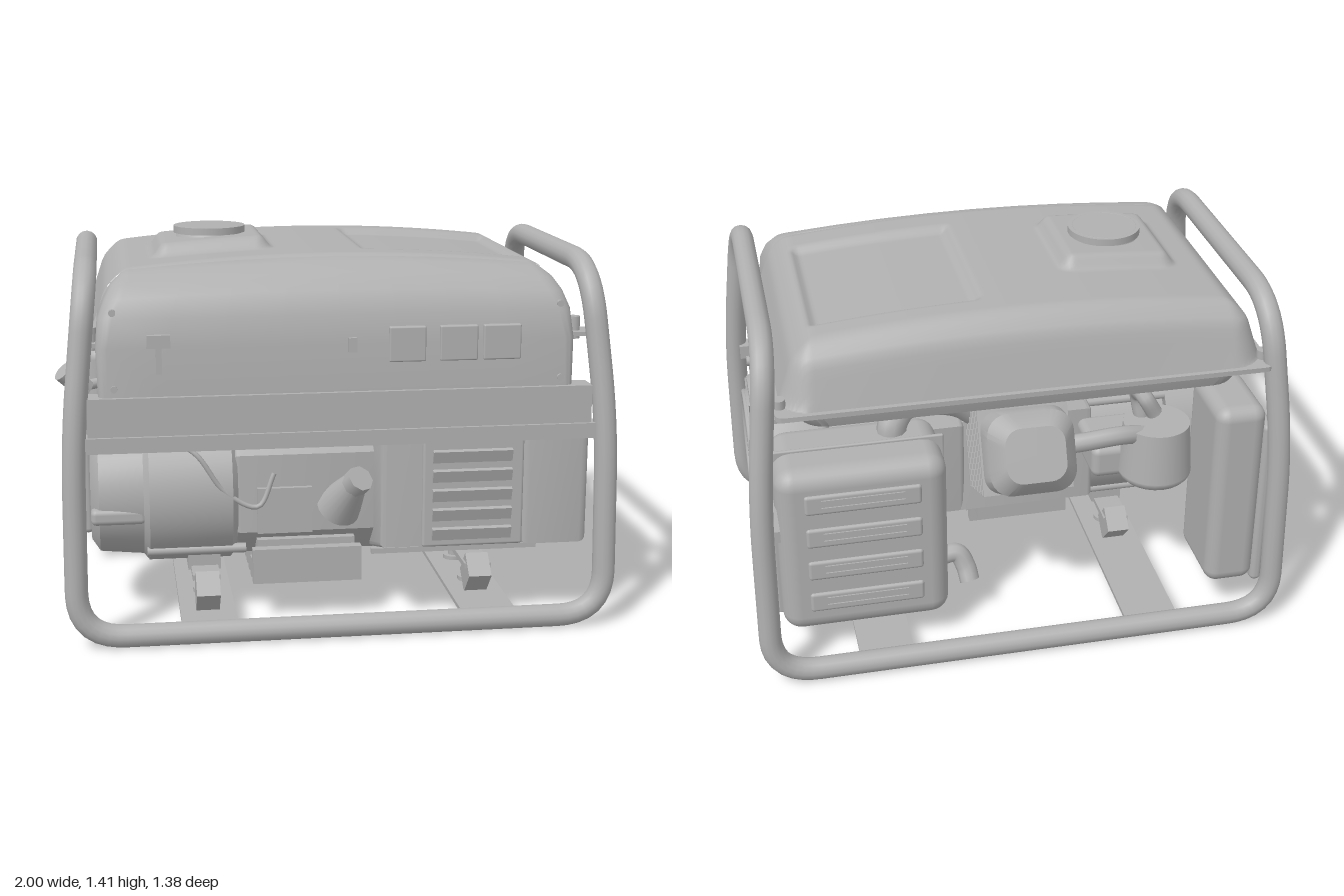
import * as THREE from 'three';
import { toCreasedNormals } from 'three/addons/utils/BufferGeometryUtils.js';
import { RoundedBoxGeometry } from 'three/addons/geometries/RoundedBoxGeometry.js';

const grey = new THREE.MeshStandardMaterial({ color: 0xb0b0b0 });
grey.name = 'grey';
const V = (x, y, z) => new THREE.Vector3(x, y, z);

function add(parent, name, geo, x = 0, y = 0, z = 0, rx = 0, ry = 0, rz = 0) {
  const m = new THREE.Mesh(geo, grey);
  m.name = name;
  m.position.set(x, y, z);
  m.rotation.set(rx, ry, rz);
  parent.add(m);
  return m;
}
// box given by its extents
const box = (p, name, x0, x1, y0, y1, z0, z1, r = 0) => add(p, name,
  r ? new RoundedBoxGeometry(x1 - x0, y1 - y0, z1 - z0, 3, r) : new THREE.BoxGeometry(x1 - x0, y1 - y0, z1 - z0),
  (x0 + x1) / 2, (y0 + y1) / 2, (z0 + z1) / 2);
const cyl = (r0, r1, h, n = 32) => new THREE.CylinderGeometry(r0, r1, h, n);
const tube = (p, name, pts, r, seg = 32) =>
  add(p, name, new THREE.TubeGeometry(new THREE.CatmullRomCurve3(pts.map(a => V(...a))), seg, r, 10));

// closed path with rounded corners
function roundedPath(pts) {
  const path = new THREE.CurvePath(), n = pts.length;
  const towards = (a, b, r) => a.clone().lerp(b, Math.min(0.45, r / a.distanceTo(b)));
  pts.forEach(([x, y, z, r], i) => {
    const p = V(x, y, z), a = pts[(i + n - 1) % n], b = pts[(i + 1) % n];
    const prev = V(...a.slice(0, 3)), next = V(...b.slice(0, 3));
    const out = towards(p, next, r);
    path.add(new THREE.QuadraticBezierCurve3(towards(p, prev, r), p, out));
    path.add(new THREE.LineCurve3(out, towards(next, p, b[3])));
  });
  return path;
}

// stack of rounded rectangles [y, x0, x1, z0, z1, radius], capped at both ends
function loft(levels, crease = 0.6, lift = () => 0) {
  const pos = [], idx = [], C = 6, E = 8, n = 4 * (C + E);
  const put = (x, y, z) => pos.push(x, y + lift(x, y, z), z);
  for (const [y, x0, x1, z0, z1, r] of levels) {
    const arc = [];
    [[x1 - r, z1 - r], [x0 + r, z1 - r], [x0 + r, z0 + r], [x1 - r, z0 + r]].forEach(([cx, cz], k) => {
      for (let i = 0; i <= C; i++) {
        const a = (k + i / C) * Math.PI / 2;
        arc.push([cx + r * Math.cos(a), cz + r * Math.sin(a)]);
      }
    });
    arc.forEach((p, i) => {
      put(p[0], y, p[1]);
      if (i % (C + 1) === C) {
        const q = arc[(i + 1) % arc.length];
        for (let j = 1; j < E; j++) put(p[0] + (q[0] - p[0]) * j / E, y, p[1] + (q[1] - p[1]) * j / E);
      }
    });
  }
  const L = levels.length, top = L * n + 1;
  for (const l of [levels[0], levels[L - 1]]) put((l[1] + l[2]) / 2, l[0], (l[3] + l[4]) / 2);
  for (let i = 0; i < n; i++) {
    const k = (i + 1) % n;
    for (let j = 0; j < L - 1; j++) {
      const a = j * n + i, b = a + n, c = (j + 1) * n + k, d = j * n + k;
      idx.push(a, b, c, a, c, d);
    }
    idx.push(top - 1, i, k, top, (L - 1) * n + k, (L - 1) * n + i);
  }
  const g = new THREE.BufferGeometry();
  g.setAttribute('position', new THREE.Float32BufferAttribute(pos, 3));
  g.setIndex(idx);
  return toCreasedNormals(g, crease);
}

// extrude a z-y outline along +x starting at x0
function sideExtrude(p, name, pts, x0, x1, bevel = 0.02) {
  const s = new THREE.Shape(pts.map(([z, y]) => new THREE.Vector2(-z, y)));
  const g = new THREE.ExtrudeGeometry(s, { depth: x1 - x0 - 2 * bevel, bevelEnabled: bevel > 0, bevelSize: bevel,
    bevelThickness: bevel, bevelOffset: -bevel, bevelSegments: 3 });
  return add(p, name, toCreasedNormals(g, 0.6), x0 + bevel, 0, 0, 0, Math.PI / 2, 0);
}

// signed depth inside a rounded rectangle
function inset(x, z, x0, x1, z0, z1, r) {
  const qx = Math.abs(x - (x0 + x1) / 2) - (x1 - x0) / 2 + r, qz = Math.abs(z - (z0 + z1) / 2) - (z1 - z0) / 2 + r;
  return r - Math.min(Math.max(qx, qz), 0) - Math.hypot(Math.max(qx, 0), Math.max(qz, 0));
}

export function createModel() {
  const model = new THREE.Group();
  model.name = 'portableGenerator';
  const part = name => { const g = new THREE.Group(); g.name = name; model.add(g); return g; };

  // tubular frame, one closed loop, with two base channels
  const frame = part('frame');
  const end = [[0.95, 0.042, 0.648, 0.17], [0.943, 0.75, 0.625, 0.2], [0.885, 1.31, 0.55, 0.2]];
  const half = [...end, ...end.slice().reverse().map(([x, y, z, r]) => [x, y, -z, r])];
  const loop = roundedPath([...half, ...half.slice().reverse().map(([x, y, z, r]) => [-x, y, z, r])]);
  add(frame, 'frameTube', new THREE.TubeGeometry(loop, 320, 0.041, 14, true), 0.013);
  for (const x of [0.54, -0.47]) {
    box(frame, 'baseChannelTop', x - 0.1, x + 0.1, 0.055, 0.07, -0.65, 0.65);
    for (const s of [-1, 1]) box(frame, 'baseChannelWall', x + s * 0.06 - 0.008, x + s * 0.06 + 0.008, 0.02, 0.06, -0.64, 0.64);
    for (const z of [x > 0 ? 0.42 : 0.5, -0.1])
      add(frame, 'rubberMount', new THREE.BoxGeometry(0.085, 0.12, 0.1), x, 0.14, z, z > 0 ? 0.75 : -0.75);
    for (const z of [0.3, 0.04]) {
      add(frame, 'mountBolt', cyl(0.022, 0.022, 0.1, 16), x, 0.12, z);
      add(frame, 'mountWasher', cyl(0.042, 0.042, 0.015, 16), x, 0.08, z);
    }
    box(frame, 'mountBracket', x - 0.05, x + 0.05, 0.165, 0.185, -0.13, 0.45);
  }

  // fuel tank: shaped top, flange, belly and cap
  const tank = part('fuelTank');
  const TX = 0.86, Z0 = -0.6, Z1 = 0.4;
  const top = new THREE.PlaneGeometry(2 * TX, Z1 - Z0, 150, 90).rotateX(-Math.PI / 2).translate(0, 0, (Z0 + Z1) / 2);
  const tp = top.attributes.position, step = THREE.MathUtils.smoothstep;
  for (let i = 0; i < tp.count; i++) {
    const x = tp.getX(i), z = tp.getZ(i);
    const d = Math.max(0, inset(x, z, -TX, TX, Z0, Z1 + 0.11, 0.12));
    const wall = d < 0.05 ? d / 0.05 * 0.7 : 0.7 + 0.3 * Math.sin(Math.min(1, (d - 0.05) / 0.09) * Math.PI / 2);
    const boss = 0.045 * step(inset(x, z, -0.64, -0.19, -0.23, 0.23, 0.06), 0, 0.05);
    const recess = 0.025 * step(inset(x, z, 0.12, 0.74, -0.39, 0.28, 0.03), 0, 0.04);
    tp.setY(i, 1.085 + wall * (0.262 - 0.05 * (x / 0.8) ** 2) + boss - recess);
  }
  top.computeVertexNormals();
  add(tank, 'tankTop', top);
  add(tank, 'tankFlange', loft([[1.07, -0.88, 0.88, -0.618, 0.42, 0.03], [1.088, -0.88, 0.88, -0.618, 0.42, 0.03]]));
  add(tank, 'tankBelly', loft([[0.88, -0.74, 0.74, -0.48, 0.38, 0.1], [0.9, -0.79, 0.79, -0.52, 0.4, 0.1],
    [1.0, -0.82, 0.82, -0.54, 0.42, 0.1], [1.075, -0.83, 0.83, -0.55, 0.42, 0.1]], 0.9,
    (x, y, z) => 0.09 * step(-z, 0.18, 0.48) * (1.075 - y) / 0.195));
  add(tank, 'capNeck', cyl(0.115, 0.13, 0.03, 40), -0.412, 1.375, 0);
  add(tank, 'fuelCap', cyl(0.133, 0.133, 0.026, 40), -0.412, 1.397, 0);
  add(tank, 'capRim', new THREE.TorusGeometry(0.118, 0.008, 8, 40), -0.412, 1.403, 0, Math.PI / 2);
  for (const sx of [-1, 1]) for (const z of [-0.54, 0.5]) {
    box(tank, 'tankBracket', sx * 0.87 - 0.05, sx * 0.87 + 0.05, 1.055, 1.07, z - 0.05, z + 0.05);
    add(tank, 'tankBolt', cyl(0.022, 0.022, 0.08, 12), sx * 0.86, 1.08, z);
  }

  // control panel above the front beam
  const panel = part('controlPanel');
  add(panel, 'panelBody', loft([[0.88, -0.84, 0.835, 0.5, 0.605, 0.03], [1.06, -0.845, 0.84, 0.34, 0.6, 0.04],
    [1.16, -0.835, 0.83, 0.34, 0.585, 0.05], [1.22, -0.81, 0.81, 0.34, 0.555, 0.06], [1.26, -0.785, 0.785, 0.35, 0.505, 0.06],
    [1.285, -0.75, 0.75, 0.355, 0.445, 0.04], [1.295, -0.73, 0.73, 0.36, 0.4, 0.015]], 0.8,
    (x, y) => 0.042 * step(y, 1.15, 1.3) * (1 - (x / 0.8) ** 2)));
  for (const [x0, x1] of [[0.17, 0.3], [0.35, 0.485], [0.505, 0.64]])
    box(panel, 'outlet', x0, x1, 0.99, 1.115, 0.585, 0.61, 0.006);
  box(panel, 'breaker', 0.025, 0.055, 1.03, 1.08, 0.59, 0.615);
  box(panel, 'switchPlate', -0.67, -0.59, 1.06, 1.105, 0.585, 0.615);
  box(panel, 'switchLever', -0.64, -0.62, 0.97, 1.07, 0.59, 0.61);
  for (const x of [-0.785, 0.785]) for (const y of [0.92, 1.18])
    add(panel, 'panelScrew', cyl(0.012, 0.012, 0.02, 12), x, y, y > 1 ? 0.576 : 0.603, Math.PI / 2);
  box(panel, 'frontBeam', -0.88, 0.9, 0.75, 0.89, 0.53, 0.622);
  box(panel, 'beamFlange', -0.92, 0.94, 0.7, 0.755, 0.565, 0.635);

  // engine: crankcase, shroud and pull starter
  const engine = part('engine');
  const prof = [[0.59, 0.3], [0.59, 0.71], [0.44, 0.715], [0.36, 0.8], [0.28, 0.855], [-0.06, 0.86], [-0.17, 0.74],
    [-0.19, 0.5], [-0.15, 0.34], [-0.04, 0.22], [0.05, 0.19], [0.25, 0.2], [0.42, 0.27]];
  sideExtrude(engine, 'fanShroud', prof, 0.66, 0.91, 0.03);
  sideExtrude(engine, 'engineCover', [[0.57, 0.3], [0.57, 0.7], [0.2, 0.78], [-0.15, 0.7], [-0.15, 0.32], [0.1, 0.22], [0.3, 0.22]], 0.15, 0.7);
  sideExtrude(engine, 'crankcase', [[0.42, 0.33], [0.42, 0.62], [0.3, 0.72], [-0.12, 0.7], [-0.15, 0.32], [0.05, 0.22], [0.3, 0.22]], -0.36, 0.2);
  box(engine, 'louvrePanel', 0.3, 0.67, 0.3, 0.7, 0.56, 0.585, 0.01);
  box(engine, 'lowerRail', 0.15, 0.78, 0.215, 0.235, 0.36, 0.38);
  for (let i = 0; i < 5; i++)
    add(engine, 'louvre', new THREE.BoxGeometry(0.29, 0.045, 0.02), 0.48, 0.35 + i * 0.072, 0.585, 0.3);
  const fan = new THREE.Group();
  fan.name = 'pullStarter';
  fan.position.set(0.89, 0.525, 0.14);
  fan.rotation.y = Math.PI / 2;
  engine.add(fan);
  add(fan, 'starterHousing', new THREE.CylinderGeometry(0.285, 0.315, 0.05, 56), 0, 0, 0.02, Math.PI / 2);
  const disc = new THREE.Shape().absarc(0, 0, 0.237, 0, Math.PI * 2);
  for (let r = -5; r <= 5; r++) for (let c = -1; c <= 1; c++) {
    const y = r * 0.029, w = Math.sqrt(0.19 ** 2 - y * y);
    const a = Math.max(c * 0.125 - 0.054, -w), b = Math.min(c * 0.125 + 0.054, w);
    if (b - a > 0.02) disc.holes.push(new THREE.Path([[a, y - 0.009], [a, y + 0.009], [b, y + 0.009], [b, y - 0.009]].map(q => new THREE.Vector2(...q))));
  }
  add(fan, 'starterGrille', new THREE.ExtrudeGeometry(disc, { depth: 0.016, bevelEnabled: false, curveSegments: 28 }), 0, 0, 0.045);
  add(fan, 'starterRing', new THREE.TorusGeometry(0.228, 0.01, 8, 56), 0, 0, 0.06);
  for (let i = 0; i < 8; i++) {
    const a = (i + 0.5) * Math.PI / 4;
    add(fan, 'ringRib', new THREE.BoxGeometry(0.045, 0.01, 0.016), 0.258 * Math.cos(a), 0.258 * Math.sin(a), 0.044, 0, 0, a);
  }
  for (const sx of [-1, 1]) for (const sy of [-1, 1])
    add(fan, 'starterBolt', cyl(0.02, 0.02, 0.04, 12), sx * 0.205, sy * 0.28, 0.015, Math.PI / 2);
  // tilted finned cylinder with rocker cover
  const head = new THREE.Group();
  head.name = 'cylinderHead';
  head.position.set(-0.03, 0.6, -0.12);
  head.rotation.x = -Math.PI / 2 + 0.42;
  engine.add(head);
  box(head, 'cylinderCore', -0.12, 0.12, -0.02, 0.36, -0.12, 0.12);
  for (let i = 0; i < 9; i++) box(head, 'coolingFin', -0.17, 0.17, 0.02 + i * 0.034, 0.03 + i * 0.034, -0.16, 0.16);
  add(head, 'rockerCover', loft([[0.32, -0.165, 0.165, -0.155, 0.155, 0.07], [0.42, -0.16, 0.16, -0.15, 0.15, 0.08],
    [0.49, -0.11, 0.11, -0.1, 0.1, 0.06]]));
  // filler cap, oil pan and wiring
  add(engine, 'fillerNeck', cyl(0.045, 0.085, 0.16, 20), 0.045, 0.47, 0.45, 0.7, 0, -0.3);
  add(engine, 'fillerCap', cyl(0.05, 0.05, 0.05, 8), 0.075, 0.535, 0.51, 0.8, 0, -0.4);
  box(engine, 'oilPan', -0.28, 0.08, 0.2, 0.3, -0.05, 0.42);
  for (let i = 0; i < 6; i++) box(engine, 'panRib', -0.3, 0.1, 0.145, 0.22, 0.02 + i * 0.08, 0.06 + i * 0.08);
  box(engine, 'panFront', -0.3, 0.1, 0.195, 0.275, 0.42, 0.46);
  box(engine, 'ignitionBox', -0.28, -0.08, 0.33, 0.5, 0.4, 0.44);
  tube(engine, 'wire', [[-0.6, 0.7, 0.42], [-0.5, 0.64, 0.46], [-0.4, 0.5, 0.46], [-0.28, 0.44, 0.46], [-0.22, 0.56, 0.45]], 0.009);

  // alternator at the other end
  const gen = part('alternator');
  const outline = [[0, -0.53], [0.2, -0.53], [0.245, -0.5], [0.26, -0.34], [0.285, -0.32], [0.285, -0.02], [0.26, 0], [0, 0]];
  add(gen, 'alternatorBody', toCreasedNormals(new THREE.LatheGeometry(outline.map(q => new THREE.Vector2(...q)), 48), 0.6), -0.35, 0.465, 0.185, 0, 0, -Math.PI / 2);
  for (let i = 0; i < 4; i++) {
    const a = (i + 0.5) * Math.PI / 2;
    add(gen, 'throughBolt', cyl(0.018, 0.018, 0.36, 10), -0.5, 0.465 + 0.285 * Math.sin(a), 0.185 + 0.285 * Math.cos(a), 0, 0, Math.PI / 2);
  }
  box(gen, 'alternatorFoot', -0.53, -0.41, 0.17, 0.26, 0.02, 0.34);
  box(gen, 'endVane', -0.88, -0.68, 0.38, 0.44, 0.34, 0.44, 0.02);

  // air cleaner at the back
  const air = part('airCleaner');
  box(air, 'airBox', 0.28, 0.9, 0.115, 0.8, -0.535, -0.172, 0.07);
  box(air, 'seam', 0.27, 0.91, 0.105, 0.81, -0.375, -0.36, 0.006);
  for (let i = 0; i < 4; i++) {
    box(air, 'ventRidge', 0.38, 0.8, 0.215 + i * 0.14, 0.295 + i * 0.14, -0.545, -0.5, 0.012);
    for (const y of [0.235, 0.265]) box(air, 'ventSlat', 0.44, 0.74, y + i * 0.14, y + 0.012 + i * 0.14, -0.55, -0.52);
  }
  box(air, 'strap', 0.895, 0.915, 0.6, 0.645, -0.63, -0.4);
  tube(air, 'intakeElbow', [[0.45, 0.74, -0.29], [0.44, 0.83, -0.28], [0.38, 0.86, -0.22], [0.2, 0.82, -0.16], [0.08, 0.72, -0.12]], 0.055);
  tube(air, 'breatherElbow', [[0.3, 0.24, -0.33], [0.22, 0.25, -0.33], [0.19, 0.2, -0.35], [0.18, 0.15, -0.38]], 0.038);

  // muffler, fuel bowl and hoses
  const exhaust = part('exhaust');
  box(exhaust, 'muffler', -0.89, -0.7, 0.14, 0.9, -0.59, -0.26, 0.05);
  box(exhaust, 'heatShield', -0.925, -0.88, 0.13, 0.82, -0.585, -0.28, 0.02);
  for (let i = 0; i < 7; i++) box(exhaust, 'shieldRib', -0.932, -0.9, 0.18 + i * 0.085, 0.205 + i * 0.085, -0.55, -0.31);
  tube(exhaust, 'exhaustPipe', [[-0.12, 0.72, -0.4], [-0.25, 0.74, -0.42], [-0.38, 0.75, -0.42], [-0.5, 0.72, -0.38]], 0.035);
  add(exhaust, 'bowl', cyl(0.125, 0.14, 0.2, 28), -0.54, 0.66, -0.36);
  add(exhaust, 'bowlBase', new THREE.SphereGeometry(0.14, 24, 12).scale(1, 0.45, 1), -0.54, 0.56, -0.36);
  box(exhaust, 'bowlBracket', -0.54, -0.3, 0.53, 0.66, -0.36, -0.1, 0.03);
  tube(exhaust, 'upperHose', [[-0.5, 0.75, -0.3], [-0.48, 0.85, -0.3], [-0.46, 0.91, -0.4], [-0.46, 0.92, -0.45], [-0.5, 0.85, -0.45]], 0.03);
  tube(exhaust, 'fuelHose', [[-0.7, 0.9, 0.45], [-0.72, 0.8, 0.47], [-0.7, 0.72, 0.53], [-0.6, 0.66, 0.4]], 0.018);
  add(exhaust, 'fuelValve', cyl(0.04, 0.04, 0.12, 14), -0.93, 0.85, 0.11, 0.4, 0, 0.75);
  tube(exhaust, 'valveArm', [[-0.9, 0.82, 0.08], [-0.8, 0.84, 0.04], [-0.7, 0.92, 0]], 0.02);
  return model;
}
